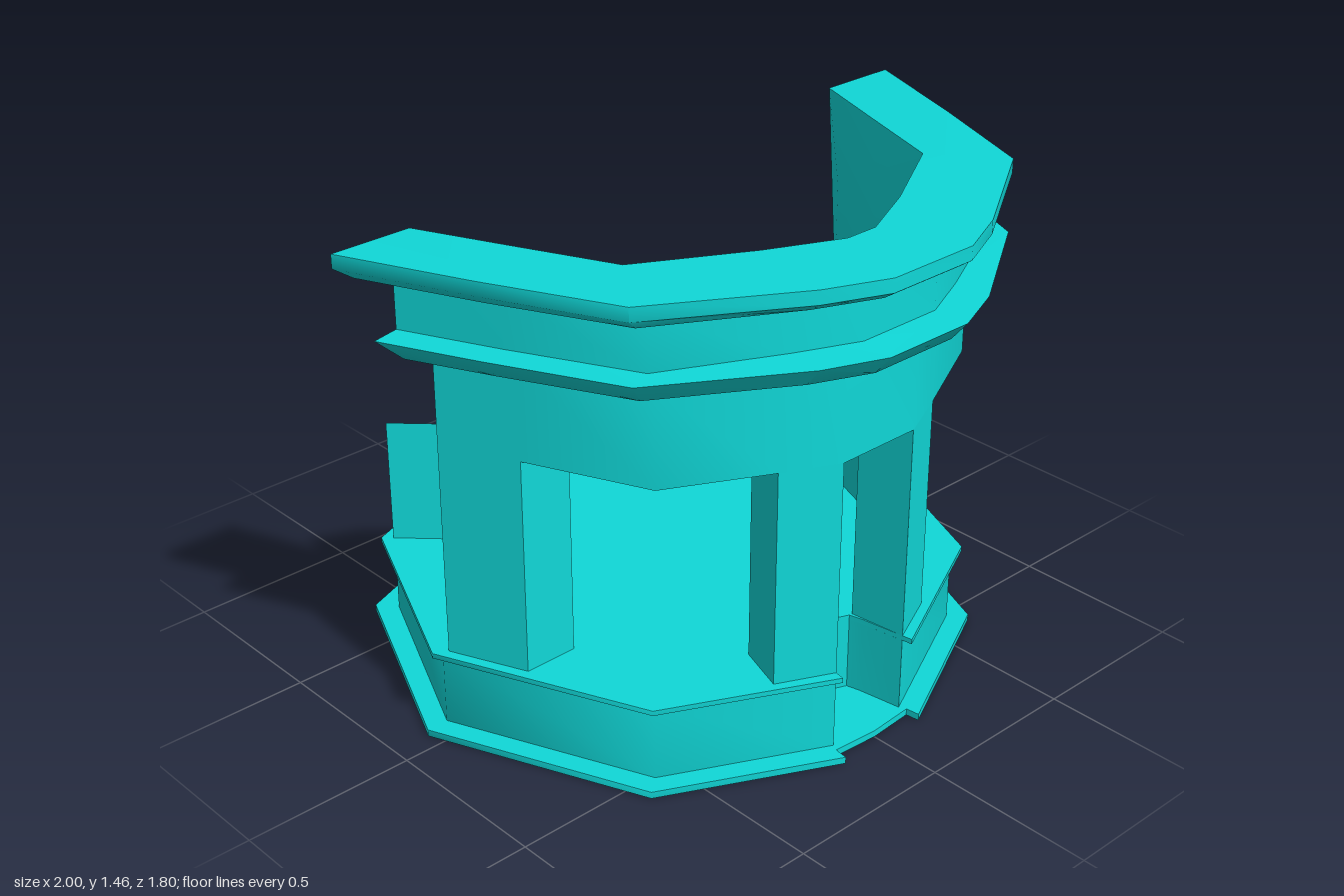
import * as THREE from 'three';
import { toCreasedNormals } from 'three/addons/utils/BufferGeometryUtils.js';

const material = new THREE.MeshStandardMaterial({ color: 0x10d8d8 });
const CREASE = 0.9;

function addMesh(parent, name, geometry) {
  const mesh = new THREE.Mesh(toCreasedNormals(geometry, CREASE), material);
  mesh.name = name;
  parent.add(mesh);
  return mesh;
}

// Upright prism from a floor plan given as [x, z] points
function prism(plan, y0, y1) {
  const shape = new THREE.Shape(plan.map(([x, z]) => new THREE.Vector2(x, -z)));
  const g = new THREE.ExtrudeGeometry(shape, { depth: y1 - y0, bevelEnabled: false });
  return g.rotateX(-Math.PI / 2).translate(0, y0, 0);
}

const mirrorX = (pts) => pts.map(([x, z]) => [-x, z]);

// Completes a half plan, listed from the back centre to the front centre
function fullPlan(half) {
  const left = half.filter(([x]) => x > 0);
  return [...half, ...mirrorX(left).reverse()];
}

// Plan points of the ruined ring at each station, from the broken end to the front
const stations = [
  { inner: [0.65, -0.03], outer: [0.82, -0.03], ledge: [0.9, -0.04], tip: [0.965, -0.07],
    neck: [0.89, -0.08], cap: [1, -0.18], capInner: [0.76, -0.18], rise: 0 },
  { inner: [0.565, 0.19], outer: [0.725, 0.19], ledge: [0.8, 0.2], tip: [0.85, 0.21],
    neck: [0.775, 0.2], cap: [0.85, 0.2], capInner: [0.65, 0.1], rise: 0.007 },
  { inner: [0.49, 0.38], outer: [0.575, 0.53], ledge: [0.64, 0.55], tip: [0.685, 0.575],
    neck: [0.615, 0.55], cap: [0.69, 0.57], capInner: [0.54, 0.38], rise: 0.015 },
  { inner: [0.24, 0.53], outer: [0.29, 0.675], ledge: [0.3, 0.775], tip: [0.31, 0.825],
    neck: [0.3, 0.72], cap: [0.31, 0.82], capInner: [0.25, 0.56], rise: 0.025 },
  { inner: [0.11, 0.58], outer: [0.13, 0.75], ledge: [0.14, 0.85], tip: [0.14, 0.9],
    neck: [0.13, 0.8], cap: [0.14, 0.9], capInner: [0.05, 0.66], rise: 0.03 },
];

// Closed wall, cornice, neck and cap profile at one station
function profile(s, sign) {
  const at = ([x, z], y, lift = s.rise) => new THREE.Vector3(sign * x, y + lift, z);
  const under = s.neck.map((v, i) => v + (s.cap[i] - v) * 0.65);
  return [
    at(s.inner, 0.89, 0), at(s.outer, 0.89, 0),
    at(s.outer, 1.155), at(s.ledge, 1.155), at(s.tip, 1.215),
    at(s.neck, 1.22), at(s.neck, 1.365), at(under, 1.36),
    at(s.cap, 1.385), at(s.cap, 1.425), at(s.capInner, 1.425), at(s.inner, 1.2),
  ];
}

// Skins the profiles round the half ring and closes both broken ends
function ringGeometry() {
  const rings = [
    ...stations.map((s) => profile(s, 1)),
    ...[...stations].reverse().map((s) => profile(s, -1)),
  ];
  const n = rings[0].length;
  const pos = [];
  const tri = (...pts) => pts.forEach((p) => pos.push(p.x, p.y, p.z));
  for (let i = 0; i < rings.length - 1; i++) {
    for (let j = 0; j < n; j++) {
      const k = (j + 1) % n;
      const a = rings[i][j], b = rings[i][k], c = rings[i + 1][k], d = rings[i + 1][j];
      tri(a, b, c);
      tri(a, c, d);
    }
  }
  const first = rings[0], last = rings[rings.length - 1];
  const contour = first.map((p) => new THREE.Vector2(p.x, p.y));
  for (const [a, b, c] of THREE.ShapeUtils.triangulateShape(contour, [])) {
    tri(first[a], first[c], first[b]);
    tri(last[a], last[b], last[c]);
  }
  const g = new THREE.BufferGeometry();
  g.setAttribute('position', new THREE.Float32BufferAttribute(pos, 3));
  return g;
}

export function createModel() {
  const model = new THREE.Group();
  model.name = 'ruinedRotunda';

  // Octagonal platform with a doorway notch at the front
  const platform = new THREE.Group();
  platform.name = 'platform';
  model.add(platform);
  const notch = [[0.11, 0.62], [0.1, 0.58], [0, 0.54]];
  addMesh(platform, 'bottomSlab', prism(fullPlan([
    [0, -0.9], [0.62, -0.66], [0.89, -0.05], [0.63, 0.57], [0.145, 0.81], [0.14, 0.77], [0, 0.78],
  ]), 0, 0.02));
  addMesh(platform, 'platformWall', prism(fullPlan([
    [0, -0.83], [0.575, -0.605], [0.825, -0.05], [0.58, 0.53], [0.13, 0.75], ...notch,
  ]), 0.02, 0.24));
  addMesh(platform, 'topSlab', prism(fullPlan([
    [0, -0.87], [0.6, -0.635], [0.86, -0.05], [0.605, 0.55], [0.135, 0.78], ...notch,
  ]), 0.24, 0.255));

  // Surviving upper wall with its cornice and cap
  addMesh(model, 'upperRing', ringGeometry());

  const [end, side, , mid, front] = stations;
  const pillars = {
    sidePillar: [end.outer, side.outer, side.inner, end.inner],
    frontPillar: [mid.outer, front.outer, front.inner, mid.inner],
  };
  const stump = [[0.3, -0.56], [0.4, -0.69], [0.575, -0.61], [0.45, -0.485]];

  for (const sign of [1, -1]) {
    const label = sign > 0 ? 'Left' : 'Right';
    const place = (plan) => (sign > 0 ? plan : mirrorX(plan));

    // Pillars carrying the ring
    for (const [name, plan] of Object.entries(pillars)) {
      addMesh(model, name + label, prism(place(plan), 0.25, 0.89));
    }

    // Broken rear pillar, its top sloping down towards the middle
    const g = prism(place(stump), 0.25, 0.635);
    const p = g.attributes.position;
    for (let i = 0; i < p.count; i++) {
      if (p.getY(i) < 0.5) continue;
      const slope = Math.abs(p.getX(i)) + p.getZ(i) + 0.035;
      p.setY(i, 0.635 + 0.7 * Math.min(0, slope));
    }
    addMesh(model, 'brokenPillar' + label, g);
  }
  return model;
}
